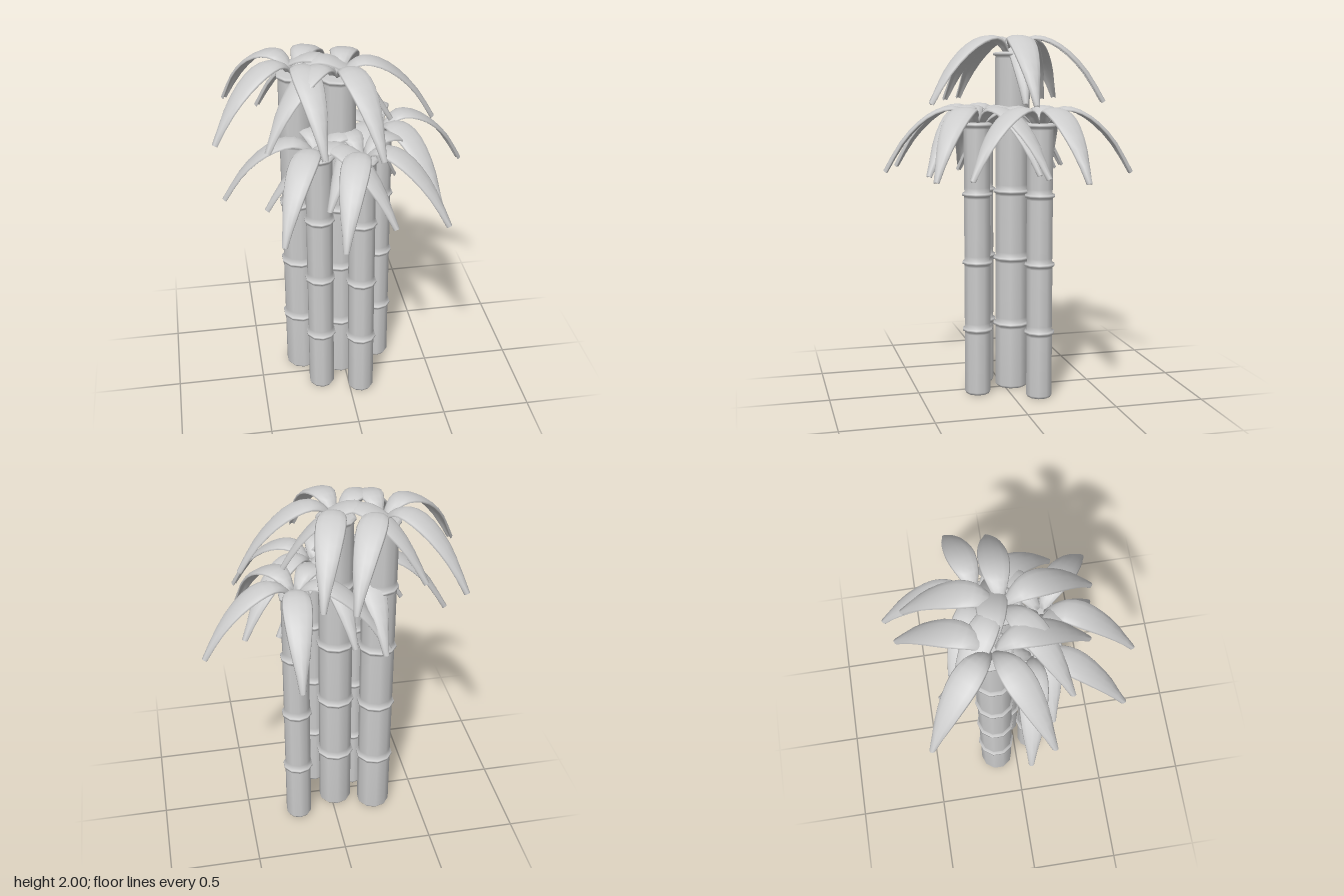
import * as THREE from 'three';

const SIDES = 10;
const STEPS = 12;
const LEAVES = 5;

// Jointed stalk: bevelled foot, a thin flange at each joint, closed top
function stalkGeometry(radius, joints) {
  const pts = [[0, 0], [radius * 0.88, 0], [radius, 0.015]];
  for (let i = 1; i <= joints; i++) {
    const y = i * 0.381 - 0.012;
    pts.push([radius, y - 0.02], [radius * 0.98, y - 0.008], [radius + 0.011, y - 0.004],
      [radius + 0.011, y + 0.008], [radius * 0.96, y + 0.014]);
    if (i < joints) pts.push([radius, y + 0.04]);
  }
  pts.push([0, joints * 0.381 + 0.004]);
  return new THREE.LatheGeometry(pts.map(([x, y]) => new THREE.Vector2(x, y)), SIDES);
}

// Arching leaf along +x, lofted from lens-shaped sections; y = 0 is its crest
function leafGeometry() {
  const spine = new THREE.CatmullRomCurve3([
    [0.02, -0.085], [0.065, -0.03], [0.13, -0.004], [0.22, -0.024],
    [0.32, -0.09], [0.42, -0.2], [0.515, -0.36],
  ].map(([x, y]) => new THREE.Vector3(x, y, 0)));
  const widths = new THREE.SplineCurve([0.026, 0.045, 0.066, 0.077, 0.068, 0.046, 0.015]
    .map((w, i) => new THREE.Vector2(i, w)));
  // [height, side] of one section, running from the top towards +z
  const section = [[0.007, 0], [0.004, 0.55], [-0.007, 0.92], [-0.015, 1], [-0.018, 0.9],
    [-0.01, 0.5], [-0.007, 0], [-0.01, -0.5], [-0.018, -0.9], [-0.015, -1], [-0.007, -0.92],
    [0.004, -0.55]];
  const n = section.length;
  const pos = [];
  const index = [];
  for (let i = 0; i <= STEPS; i++) {
    const p = spine.getPoint(i / STEPS);
    const t = spine.getTangent(i / STEPS);
    const w = widths.getPoint(i / STEPS).y;
    for (const [h, s] of section) {
      pos.push(p.x - t.y * h, p.y + t.x * h, s * w);
    }
  }
  for (let i = 0; i < STEPS; i++) {
    for (let j = 0; j < n; j++) {
      const a = i * n + j, b = i * n + (j + 1) % n;
      index.push(a, b, a + n, b, b + n, a + n);
    }
  }
  // Close both ends
  const tip = STEPS * n;
  for (let j = 1; j < n - 1; j++) {
    index.push(0, j + 1, j, tip, tip + j, tip + j + 1);
  }
  const geo = new THREE.BufferGeometry();
  geo.setAttribute('position', new THREE.Float32BufferAttribute(pos, 3));
  geo.setIndex(index);
  geo.computeVertexNormals();
  return geo;
}

export function createModel() {
  const model = new THREE.Group();
  model.name = 'bambooClump';
  const grey = new THREE.MeshStandardMaterial({ color: 0xcccccc });
  grey.name = 'plainGrey';
  const leaf = leafGeometry();

  // Position, radius, number of joints and first leaf angle in degrees
  const plants = [
    { x: -0.245, z: -0.122, radius: 0.094, joints: 5, turn: 8 },
    { x: -0.025, z: -0.048, radius: 0.094, joints: 5, turn: 0 },
    { x: 0.213, z: -0.145, radius: 0.074, joints: 4, turn: -13 },
    { x: 0.066, z: 0.172, radius: 0.074, joints: 4, turn: 37 },
    { x: -0.156, z: 0.1, radius: 0.074, joints: 4, turn: 46 },
  ];
  for (const { x, z, radius, joints, turn } of plants) {
    const plant = new THREE.Group();
    plant.name = joints === 5 ? 'tallPlant' : 'shortPlant';
    plant.position.set(x, 0, z);

    const stalk = new THREE.Mesh(stalkGeometry(radius, joints), grey);
    stalk.name = 'stalk';
    plant.add(stalk);

    const crown = new THREE.Group();
    crown.name = 'crown';
    crown.position.y = joints === 5 ? 1.995 : 1.615;
    for (let k = 0; k < LEAVES; k++) {
      const mesh = new THREE.Mesh(leaf, grey);
      mesh.name = 'leaf';
      mesh.rotation.y = -THREE.MathUtils.degToRad(turn + k * 360 / LEAVES);
      crown.add(mesh);
    }
    plant.add(crown);
    model.add(plant);
  }
  return model;
}
